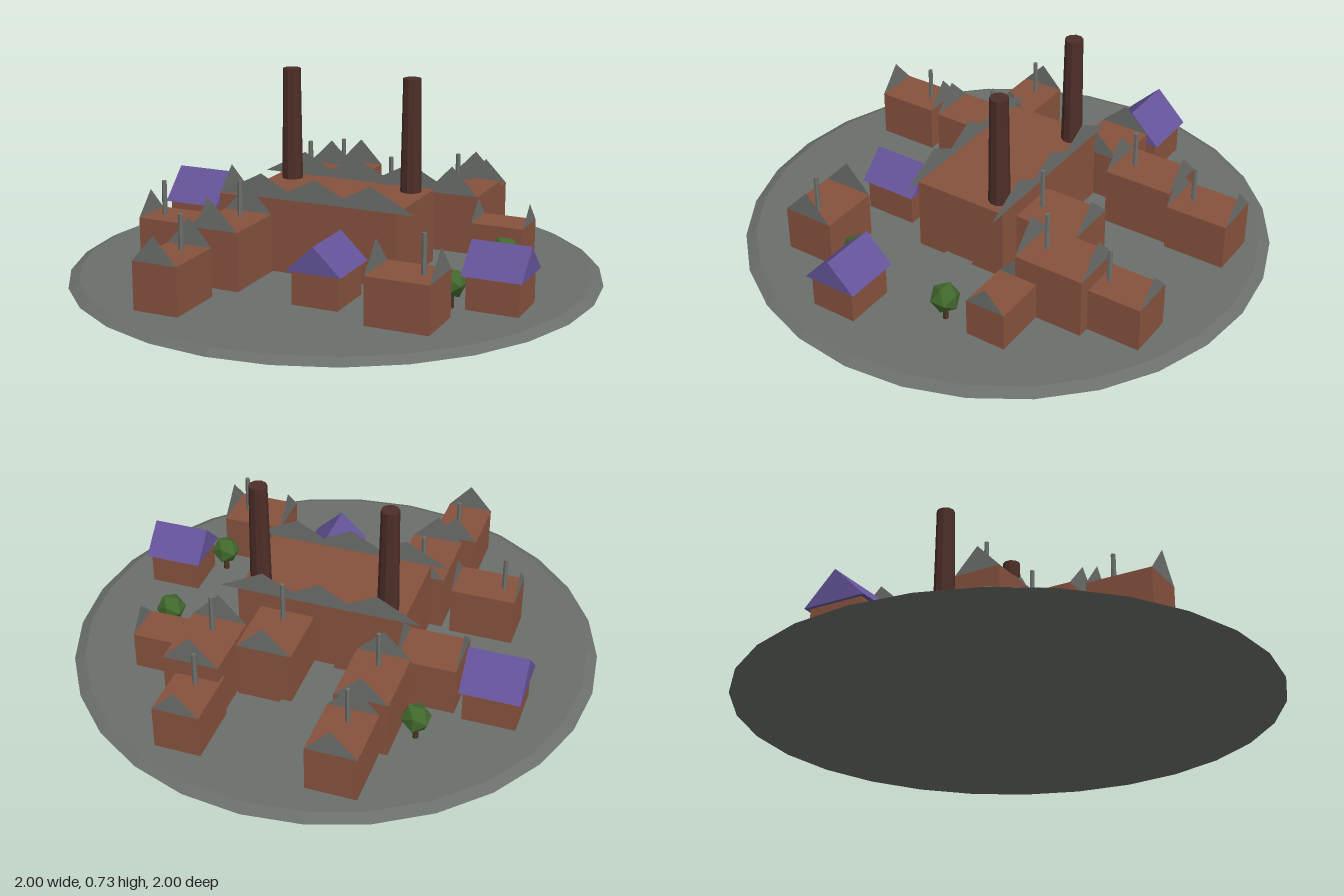
import * as THREE from 'three';

const mat = (name, color, side = THREE.FrontSide) => {
  const m = new THREE.MeshStandardMaterial({ color, side });
  m.name = name;
  return m;
};

export function createModel() {
  const stone = mat('stone grey', 0x6b6f6b);
  const gableGrey = mat('gable grey', 0x6b6f6b, THREE.DoubleSide);
  const brick = mat('brick', 0x87523e);
  const purple = mat('purple tile', 0x65549a);
  const soot = mat('dark chimney brick', 0x4d2e28);
  const green = mat('leaf green', 0x41682d);
  const bark = mat('bark', 0x4a3322);
  const GROUND = 0.02;

  const town = new THREE.Group();
  town.name = 'factoryTown';
  const add = (parent, name, geo, material, x = 0, y = 0, z = 0) => {
    const mesh = new THREE.Mesh(geo, material);
    mesh.name = name;
    mesh.position.set(x, y, z);
    parent.add(mesh);
    return mesh;
  };
  const group = (name) => {
    const g = new THREE.Group();
    g.name = name;
    town.add(g);
    return g;
  };
  const flat = (geo) => {
    const g = geo.index ? geo.toNonIndexed() : geo;
    g.computeVertexNormals();
    return g;
  };
  const triangle = (half, rise) => new THREE.Shape([
    new THREE.Vector2(-half, 0), new THREE.Vector2(half, 0), new THREE.Vector2(0, rise)]);

  // Walls standing on the ground, given as x and z ranges
  const walls = (parent, x0, x1, z0, z1, h) => add(parent, 'walls',
    new THREE.BoxGeometry(x1 - x0, h - GROUND, z1 - z0), brick,
    (x0 + x1) / 2, (h + GROUND) / 2, (z0 + z1) / 2);

  // Ground disc with a bevelled rim, and two crossing roads
  add(town, 'ground', flat(new THREE.CylinderGeometry(0.96, 1, GROUND, 28)), stone, 0, GROUND / 2, 0);
  for (const [w, d] of [[0.12, 1.77], [1.77, 0.12]]) {
    const road = add(town, 'road', new THREE.PlaneGeometry(w, d), stone, 0, w < d ? 0.035 : 0.034, 0);
    road.rotation.x = -Math.PI / 2;
  }

  // Factory hall with a row of saw-tooth gables at each end
  const factory = group('factory');
  walls(factory, -0.32, 0.32, -0.19, 0.18, 0.3);
  for (const z of [-0.19, 0.18])
    for (const x of [-0.22, 0, 0.22])
      add(factory, 'roofGable', new THREE.ShapeGeometry(triangle(0.17, 0.09)), gableGrey, x, 0.3, z);

  // Tall smokestacks
  for (const x of [-0.245, 0.25])
    add(factory, 'smokestack', flat(new THREE.CylinderGeometry(0.034, 0.042, 0.53, 10)), soot,
      x, 0.465, -0.13);

  // Brick houses: x0, x1, z0, z1, wall height, gable rise, chimney x, z, top
  const houses = [
    [-0.36, -0.17, -0.83, -0.59, 0.2, 0.1, -0.265, -0.65, 0.34],
    [0.225, 0.4, -0.8, -0.56, 0.19, 0.09, 0.31, -0.625, 0.32],
    [-0.39, -0.19, -0.585, -0.32, 0.245, 0.1, -0.29, -0.385, 0.385],
    [0.235, 0.445, -0.595, -0.325, 0.25, 0.11, 0.34, -0.39, 0.395],
    [0.02, 0.23, -0.44, -0.18, 0.24, 0.1, 0.125, -0.235, 0.395],
    [0.445, 0.65, -0.415, -0.26, 0.165, 0.08],
    [-0.55, -0.325, -0.295, -0.095, 0.21, 0.095],
    [-0.65, -0.405, 0.17, 0.34, 0.21, 0.09, -0.59, 0.255, 0.34],
    [-0.37, -0.175, 0.185, 0.45, 0.24, 0.1, -0.27, 0.25, 0.375],
    [0.37, 0.605, 0.375, 0.575, 0.195, 0.105, 0.545, 0.475, 0.34],
    [-0.41, -0.235, 0.53, 0.77, 0.2, 0.1, -0.32, 0.59, 0.33],
  ];
  for (const [x0, x1, z0, z1, h, rise, cx, cz, top] of houses) {
    const house = group('brickHouse');
    walls(house, x0, x1, z0, z1, h);
    const alongX = x1 - x0 > z1 - z0;
    const half = (alongX ? z1 - z0 : x1 - x0) / 2;
    for (const end of [0, 1]) {
      const gable = add(house, 'roofGable', new THREE.ShapeGeometry(triangle(half, rise)), gableGrey,
        alongX ? (end ? x1 : x0) : (x0 + x1) / 2, h,
        alongX ? (z0 + z1) / 2 : (end ? z1 : z0));
      if (alongX) gable.rotation.y = Math.PI / 2;
    }
    if (top) add(house, 'chimney', flat(new THREE.CylinderGeometry(0.009, 0.01, top - h, 6)), stone,
      cx, (top + h) / 2, cz);
  }

  // Cottages with overhanging purple roofs: centre x, z, roof width, roof length, eaves, rise, ridge along x
  const cottages = [
    [-0.683, -0.212, 0.24, 0.225, 0.15, 0.12, true],
    [0.72, 0.195, 0.21, 0.22, 0.145, 0.105, true],
    [0.145, 0.385, 0.21, 0.23, 0.145, 0.1, false],
  ];
  for (const [x, z, w, len, eaves, rise, alongX] of cottages) {
    const cottage = group('cottage');
    cottage.position.set(x, 0, z);
    if (alongX) cottage.rotation.y = Math.PI / 2;
    walls(cottage, -w / 2 + 0.017, w / 2 - 0.017, -len / 2 + 0.013, len / 2 - 0.013, eaves);
    add(cottage, 'purpleRoof', new THREE.ExtrudeGeometry(triangle(w / 2, rise),
      { depth: len, bevelEnabled: false }), purple, 0, eaves, -len / 2);
  }

  // Trees
  for (const [x, z] of [[0.62, -0.15], [0.57, 0.28], [-0.455, -0.46]]) {
    const tree = group('tree');
    add(tree, 'trunk', flat(new THREE.CylinderGeometry(0.009, 0.012, 0.06, 6)), bark, x, 0.045, z);
    add(tree, 'crown', new THREE.IcosahedronGeometry(0.057, 0), green, x, 0.11, z);
  }
  return town;
}
